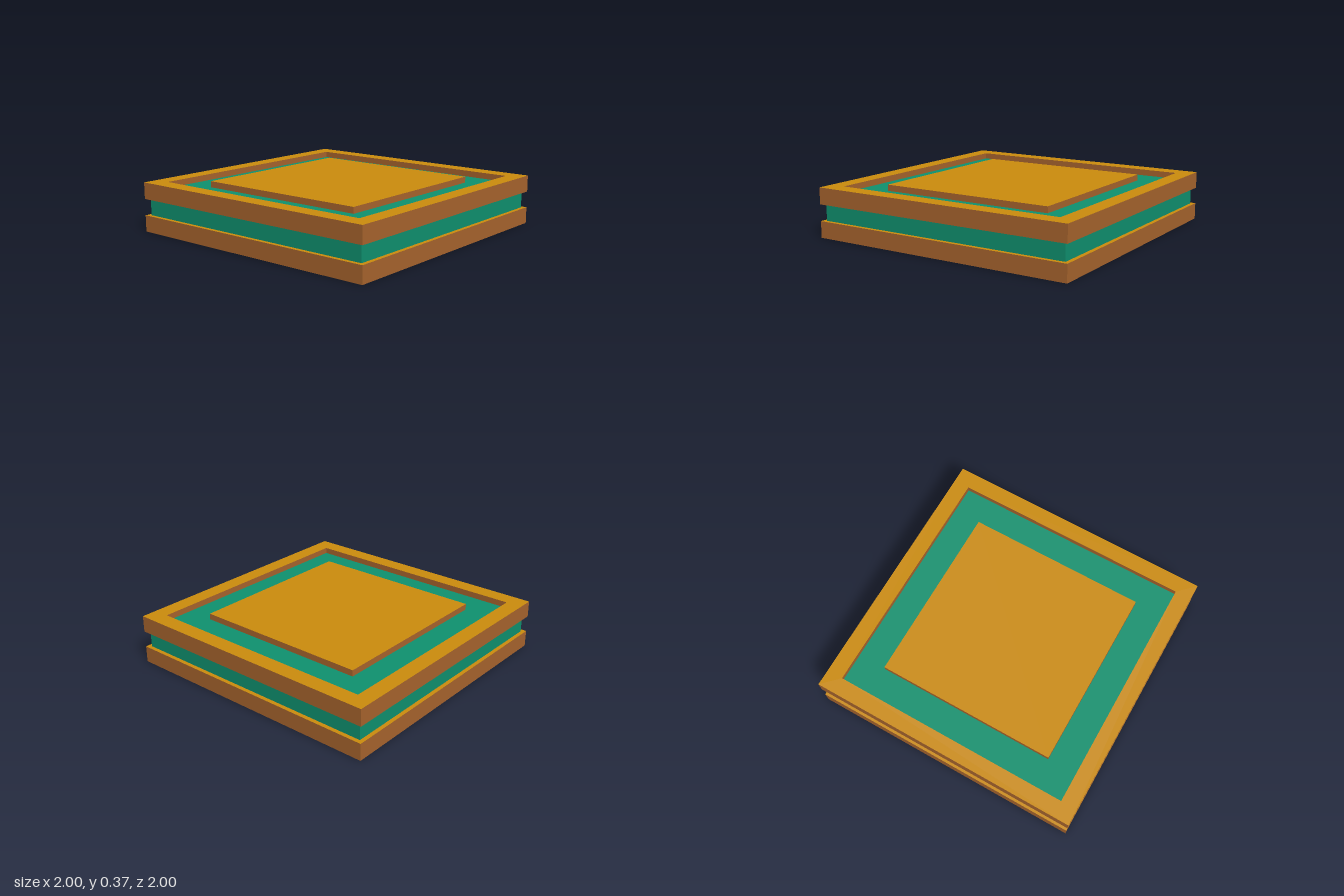
import * as THREE from 'three';

const material = (name, color) => {
  const m = new THREE.MeshStandardMaterial({ color });
  m.name = name;
  return m;
};

// Square outline of a given half width
function square(Type, h) {
  const s = new Type();
  s.moveTo(-h, -h);
  s.lineTo(h, -h);
  s.lineTo(h, h);
  s.lineTo(-h, h);
  s.closePath();
  return s;
}

// Square slab from y0 to y1, with an optional square opening; caps then sides as materials
function slab(name, half, y0, y1, materials, hole) {
  const shape = square(THREE.Shape, half);
  if (hole) shape.holes.push(square(THREE.Path, hole));
  const geometry = new THREE.ExtrudeGeometry(shape, { depth: y1 - y0, bevelEnabled: false });
  geometry.rotateX(-Math.PI / 2);
  geometry.translate(0, y0, 0);
  const mesh = new THREE.Mesh(geometry, materials);
  mesh.name = name;
  return mesh;
}

export function createModel() {
  const gold = material('gold face', 0xcb8c0d);
  const brown = material('brown edge', 0xa7642d);
  const green = material('green core', 0x0f916f);
  const framed = [gold, brown];
  const height = 0.365, thick = 0.122, recess = 0.045;

  const group = new THREE.Group();
  group.name = 'layeredTile';

  // Green core: wide band between the frames, narrower floor inside them
  group.add(slab('coreBand', 0.97, thick, height - thick, [green, green]));
  group.add(slab('coreFloor', 0.9, recess, height - recess, [green, green]));

  // Matching frame and raised centre plate on the top and the bottom
  for (const [side, y0, y1, p0, p1] of [
    ['bottom', 0, thick, 0, recess],
    ['top', height - thick, height, height - recess, height],
  ]) {
    group.add(slab(side + 'Frame', 1, y0, y1, framed, 0.88));
    group.add(slab(side + 'Plate', 0.663, p0, p1, framed));
  }
  return group;
}
